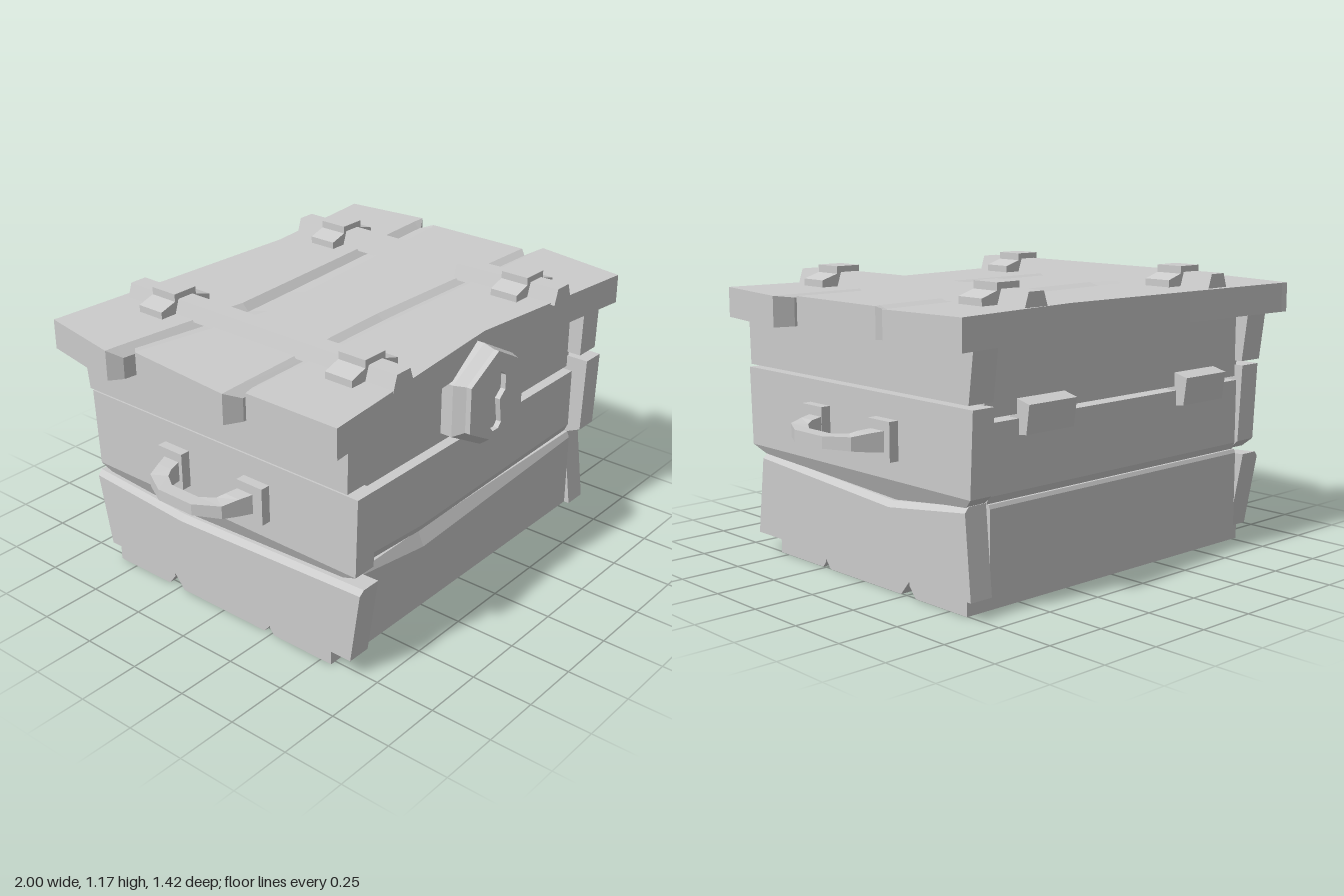
import * as THREE from 'three';

const material = new THREE.MeshStandardMaterial({ color: 0xcccccc, flatShading: true, side: THREE.DoubleSide });

// Closed solid through convex rings of points; winding is corrected from the signed volume.
function loft(rings) {
  const tris = [];
  const n = rings[0].length;
  for (let i = 0; i + 1 < rings.length; i++) {
    const a = rings[i], b = rings[i + 1];
    for (let j = 0; j < n; j++) {
      const k = (j + 1) % n;
      tris.push([a[j], a[k], b[k]], [a[j], b[k], b[j]]);
    }
  }
  const first = rings[0], last = rings[rings.length - 1];
  for (let j = 1; j + 1 < n; j++) {
    tris.push([first[0], first[j + 1], first[j]], [last[0], last[j], last[j + 1]]);
  }
  const c = new THREE.Vector3(), cross = new THREE.Vector3();
  let volume = 0;
  for (const [p, q, r] of tris) volume += p.dot(cross.crossVectors(q, r));
  const points = [];
  for (const [p, q, r] of tris) {
    const area = cross.subVectors(q, p).cross(c.subVectors(r, p)).length();
    if (area < 1e-9) continue;
    points.push(...(volume > 0 ? [p, q, r] : [p, r, q]));
  }
  const g = new THREE.BufferGeometry().setFromPoints(points);
  g.computeVertexNormals();
  return g;
}

// Plank with a bent outline. Station: [u, low edge, high edge, low bevel, high bevel, u at high edge].
// map(u, w, t) places length, width and thickness in space; slopes give bevel depth per bevel width.
function plank(stations, thick, map, slopeLo = 0.45, slopeHi = slopeLo) {
  return loft(stations.map(([u, lo, hi, bl = 0, bh = 0, uHi = u]) => {
    const section = [
      [lo, 0], [lo, thick - bl * slopeLo], [lo + bl, thick],
      [hi - bh, thick], [hi, thick - bh * slopeHi], [hi, 0],
    ];
    return section.map(([w, t]) => map(u + (uHi - u) * (w - lo) / (hi - lo), w, t));
  }));
}

const V = (x, y, z) => new THREE.Vector3(x, y, z);

export function createModel() {
  const root = new THREE.Group();
  const add = (name, geometry) => {
    const mesh = new THREE.Mesh(geometry, material);
    mesh.name = name;
    root.add(mesh);
    return mesh;
  };

  // Floor planks, meeting in bevelled grooves
  const floorMap = (x, z, t) => V(x, 0.085 - t, z);
  for (const [z0, z1, bl, bh] of [[0.245, 0.55, 0.02, 0], [-0.272, 0.245, 0.05, 0.03], [-0.59, -0.272, 0, 0.035]]) {
    add('floorPlank', plank([[-0.775, z0, z1, bl, bh], [0.755, z0, z1, bl, bh]], 0.085, floorMap, 1.2));
  }

  // Front wall planks with a sagging seam, back wall planks with a straight one
  const frontMap = (x, y, t) => V(x, y, 0.49 + t);
  const backMap = (x, y, t) => V(x, y, -0.525 - t);
  add('frontLowerPlank', plank([
    [-0.69, 0.072, 0.405, 0, 0.02], [-0.33, 0.072, 0.392, 0, 0.06], [0.69, 0.072, 0.412, 0, 0.025],
  ], 0.142, frontMap));
  add('frontMiddlePlank', plank([
    [-0.69, 0.403, 0.695, 0.042], [-0.33, 0.39, 0.695, 0.032], [0.69, 0.41, 0.695, 0.038],
  ], 0.132, frontMap));
  add('frontUpperPlank', plank([[-0.7, 0.71, 0.97], [0.7, 0.71, 0.97]], 0.105, frontMap));
  add('backLowerPlank', plank([[-0.69, 0.072, 0.405, 0, 0.015], [0.69, 0.072, 0.405, 0, 0.015]], 0.115, backMap));
  add('backMiddlePlank', plank([[-0.69, 0.403, 0.695, 0.03], [0.69, 0.403, 0.695, 0.03]], 0.11, backMap));
  add('backUpperPlank', plank([[-0.7, 0.71, 0.97], [0.7, 0.71, 0.97]], 0.1, backMap));

  // Side wall planks, running past the front and back walls: z at the bottom and top of each end
  const sides = [
    { name: 'left', s: 1, low: [-0.65, -0.62, 0.655, 0.61], top: 0.41 },
    { name: 'right', s: -1, low: [-0.62, -0.68, 0.655, 0.702], top: 0.39 },
  ];
  for (const { name, s, low, top } of sides) {
    const map = (z, y, t) => V(s * (0.69 + t), y, z);
    add(name + 'LowerPlank', plank([
      [low[0], 0.072, top, 0, 0.02, low[1]], [-0.2, 0.072, 0.357, 0, 0.022], [low[2], 0.072, top, 0, 0.02, low[3]],
    ], 0.1, map, 1));
    add(name + 'MiddlePlank', plank([
      [-0.65, 0.44, 0.758, 0, 0, -0.665], [-0.61, 0.405, 0.758, 0.035], [-0.2, 0.355, 0.758, 0.085],
      [0.61, 0.408, 0.758, 0.032], [0.68, 0.44, 0.758, 0, 0, 0.69],
    ], 0.1, map));
    add(name + 'UpperPlank', plank([
      [-0.66, 0.775, 0.97, 0, 0, -0.685], [0.655, 0.775, 0.97, 0, 0, 0.66],
    ], 0.115, map));
  }

  // Lid planks, with the corners along the seams cut off
  const lidMap = (x, z, t) => V(x, 0.967 + t, z);
  add('lidFrontPlank', plank([
    [-0.91, 0.29, 0.7], [-0.85, 0.265, 0.695, 0.022, 0, -0.86], [-0.08, 0.222, 0.622, 0.058],
    [0.05, 0.225, 0.61, 0.055], [0.86, 0.265, 0.695, 0.025, 0, 0.83], [0.94, 0.29, 0.7, 0, 0, 0.87],
  ], 0.12, lidMap, 0.4));
  add('lidMiddlePlank', plank([
    [-0.92, -0.25, 0.232, 0, 0, -0.965], [-0.87, -0.305, 0.268, 0.06, 0.04, -0.9],
    [-0.33, -0.24, 0.24, 0.095, 0.035], [-0.08, -0.255, 0.227, 0.095, 0.03],
    [0.845, -0.305, 0.268, 0.07, 0.045], [0.877, -0.25, 0.225],
  ], 0.12, lidMap, 0.28, 0.75));
  add('lidBackPlank', plank([
    [-0.91, -0.713, -0.343, 0, 0, -0.98], [-0.88, -0.71, -0.305, 0, 0.035, -0.93],
    [-0.33, -0.68, -0.237, 0, 0.038], [0.3, -0.65, -0.27, 0, 0.038],
    [0.84, -0.707, -0.308, 0, 0.035, 0.86], [0.88, -0.713, -0.343, 0, 0, 0.92],
  ], 0.12, lidMap, 0, 1));

  // Lid straps and the clamps that hold them
  const straps = [
    { name: 'right', cx: -0.52, bend: [[-0.66, 0], [0.67, 0]] },
    { name: 'left', cx: 0.485, bend: [[-0.66, 0], [0.2, -0.012], [0.67, 0.01]] },
  ];
  for (const { name, cx, bend } of straps) {
    add(name + 'LidStrap', loft(bend.map(([z, dx]) => [
      V(cx + dx - 0.058, 1.08, z), V(cx + dx + 0.058, 1.08, z),
      V(cx + dx + 0.037, 1.143, z), V(cx + dx - 0.037, 1.143, z),
    ])));
    const half = [[0.128, 1.08], [0.128, 1.115], [0.056, 1.137], [0.056, 1.167]];
    const profile = [...half, ...half.slice().reverse().map(([x, y]) => [-x, y])];
    const shape = new THREE.Shape(profile.map(([x, y]) => new THREE.Vector2(cx + x, y)));
    for (const z of [-0.517, 0.423]) {
      const clamp = new THREE.ExtrudeGeometry(shape, { depth: 0.122, bevelEnabled: false });
      add(name + 'StrapClamp', clamp.translate(0, 0, z));
    }
  }

  // Hexagonal lock with a sunken keyhole
  const hex = (r, cy, z) => Array.from({ length: 6 }, (_, i) => {
    const a = Math.PI / 2 + i * Math.PI / 3;
    return V(r * 1.04 * Math.cos(a), cy + r * Math.sin(a), z);
  });
  add('lockBody', loft([hex(0.212, 0.853, 0.55), hex(0.212, 0.853, 0.645), hex(0.187, 0.864, 0.69)]));
  const face = new THREE.Shape(hex(0.187, 0.864, 0).map(p => new THREE.Vector2(p.x, p.y)));
  const keyHalf = [[0.025, 0.96], [0.055, 0.935], [0.055, 0.875], [0.02, 0.845], [0.035, 0.745], [0.018, 0.725]];
  const keyhole = [...keyHalf, ...keyHalf.slice().reverse().map(([x, y]) => [-x, y])];
  face.holes.push(new THREE.Path(keyhole.map(([x, y]) => new THREE.Vector2(x, y))));
  add('lockFace', new THREE.ExtrudeGeometry(face, { depth: 0.022, bevelEnabled: false }).translate(0, 0, 0.69));

  // Side handles: two mounting plates and a tapered bent grip
  const grip = [ // outer x, outer z, inner x, inner z, half height
    [0.8, 0.24, 0.8, 0.16, 0.042], [0.88, 0.21, 0.88, 0.14, 0.035], [0.945, 0.185, 0.91, 0.125, 0.026],
    [1.0, 0.085, 0.945, 0.07, 0.023],
  ];
  const path = [...grip, ...grip.slice().reverse().map(([a, b, c, d, h]) => [a, -b, c, -d, h])];
  for (const s of [1, -1]) {
    const side = s > 0 ? 'left' : 'right';
    add(side + 'HandleGrip', loft(path.map(([ox, oz, ix, iz, h]) => [
      V(s * ox, 0.59 - h, oz), V(s * ox, 0.59 + h, oz), V(s * ix, 0.59 + h, iz), V(s * ix, 0.59 - h, iz),
    ])));
    for (const z of [0.212, -0.198]) {
      add(side + 'HandlePlate', new THREE.BoxGeometry(0.06, 0.15, 0.125).translate(s * 0.8, 0.592, z));
    }
  }

  // Back hinges with sloping top and bottom
  for (const x of [-0.43, 0.425]) {
    add('hinge', loft([-0.12, 0.12].map(d => [
      V(x + d, 0.63, -0.59), V(x + d, 0.64, -0.673), V(x + d, 0.75, -0.688), V(x + d, 0.775, -0.59),
    ])));
  }
  return root;
}
